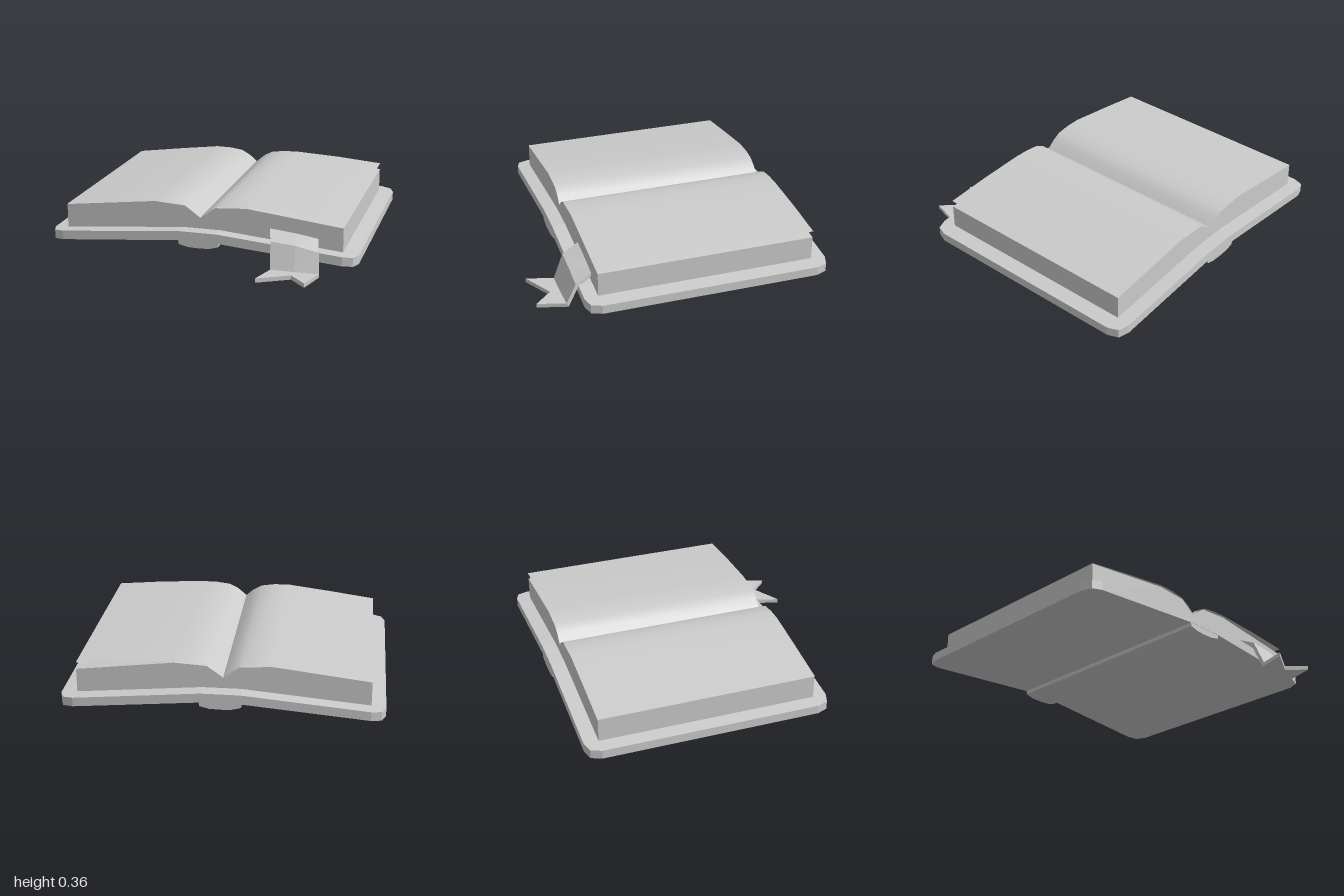
import * as THREE from 'three';

const paper = new THREE.MeshStandardMaterial({ color: 0xcccccc, flatShading: true });
const sheetMaterial = new THREE.MeshStandardMaterial({ color: 0xcccccc, side: THREE.DoubleSide });

function add(group, name, geometry, material = paper) {
  const mesh = new THREE.Mesh(geometry, material);
  mesh.name = name;
  group.add(mesh);
}

// Moves each vertex of a geometry by a rule (x, y, z) -> [x, y, z]
function reshape(geometry, rule) {
  const p = geometry.attributes.position;
  for (let i = 0; i < p.count; i++) p.setXYZ(i, ...rule(p.getX(i), p.getY(i), p.getZ(i)));
  geometry.computeVertexNormals();
  return geometry;
}

// Prism with a front profile, running from z0 to z1
function prism(points, z0, z1) {
  const shape = new THREE.Shape(points.map(([x, y]) => new THREE.Vector2(x, y)));
  return new THREE.ExtrudeGeometry(shape, { depth: z1 - z0, bevelEnabled: false }).translate(0, 0, z0);
}

// Thin page following a front profile
function sheet(profile, z0, z1) {
  const n = profile.length - 1;
  const g = new THREE.PlaneGeometry(n, 1, n, 1).rotateX(-Math.PI / 2);
  return reshape(g, (x, y, z) => [...profile[Math.round(x + n / 2)], z < 0 ? z0 : z1]);
}

export function createModel() {
  const book = new THREE.Group();
  book.name = 'openBook';

  // Cover: bent board with rounded corners; stations are [x, corner inset, top y, bottom y]
  const half = [[0.12, 0, 0.19, 0.13], [0.91, 0, 0.12, 0.062], [0.975, 0.022, 0.114, 0.057], [1, 0.09, 0.112, 0.055]];
  const stations = [...half.map(([x, ...r]) => [-x, ...r]).reverse(), ...half];
  const n = stations.length - 1;
  add(book, 'cover', reshape(new THREE.BoxGeometry(n, 1, 1, n, 1, 1), (x, y, z) => {
    const [sx, inset, top, bottom] = stations[Math.round(x + n / 2)];
    return [sx, y > 0 ? top : bottom, z > 0 ? 0.655 - inset : -0.92 + inset];
  }));

  // Spine: shallow rounded ridge below the cover
  add(book, 'spine', prism([[-0.13, 0.135], [-0.128, 0.105], [-0.07, 0.09], [0, 0.087],
    [0.07, 0.09], [0.128, 0.105], [0.13, 0.135]], -0.918, 0.653));

  // Page block with a gutter in the middle
  add(book, 'pageBlock', prism([[-0.91, 0.115], [-0.12, 0.185], [0.12, 0.185], [0.9, 0.115],
    [0.9, 0.273], [0.29, 0.345], [0.09, 0.332], [-0.01, 0.26], [-0.11, 0.332], [-0.31, 0.345], [-0.91, 0.273]],
  -0.828, 0.567));

  // Loose top pages; the one at +x lifts off the block at its outer edge
  add(book, 'leftPage', sheet([[-0.01, 0.264], [0.05, 0.316], [0.11, 0.345], [0.2, 0.356], [0.3, 0.358],
    [0.6, 0.342], [0.9, 0.316]], -0.83, 0.569), sheetMaterial);
  add(book, 'rightPage', sheet([[-0.91, 0.276], [-0.6, 0.319], [-0.31, 0.356], [-0.21, 0.354], [-0.12, 0.341],
    [-0.06, 0.307], [-0.01, 0.264]], -0.83, 0.569), sheetMaterial);

  // Ribbon bookmark: rows of left, middle and right top points, ending in a swallowtail
  const rows = [
    [[0.435, 0.24, 0.55], [0.6, 0.222, 0.55], [0.74, 0.2, 0.55]],
    [[0.47, 0.185, 0.675], [0.625, 0.172, 0.675], [0.77, 0.14, 0.67]],
    [[0.485, 0.027, 0.74], [0.635, 0.027, 0.74], [0.785, 0.027, 0.735]],
    [[0.435, 0.027, 0.91], [0.63, 0.027, 0.8], [0.735, 0.027, 0.91]],
  ];
  add(book, 'ribbon', reshape(new THREE.BoxGeometry(2, 1, 3, 2, 1, 3), (x, y, z) => {
    const r = Math.round(z + 1.5);
    const [px, py, pz] = rows[r][Math.round(x + 1)];
    // the underside of the hanging part sits further back to keep the thickness even
    return y > 0 ? [px, py, pz] : [px, py - 0.027, pz - (r === 1 || r === 2 ? 0.012 : 0)];
  }));

  return book;
}
